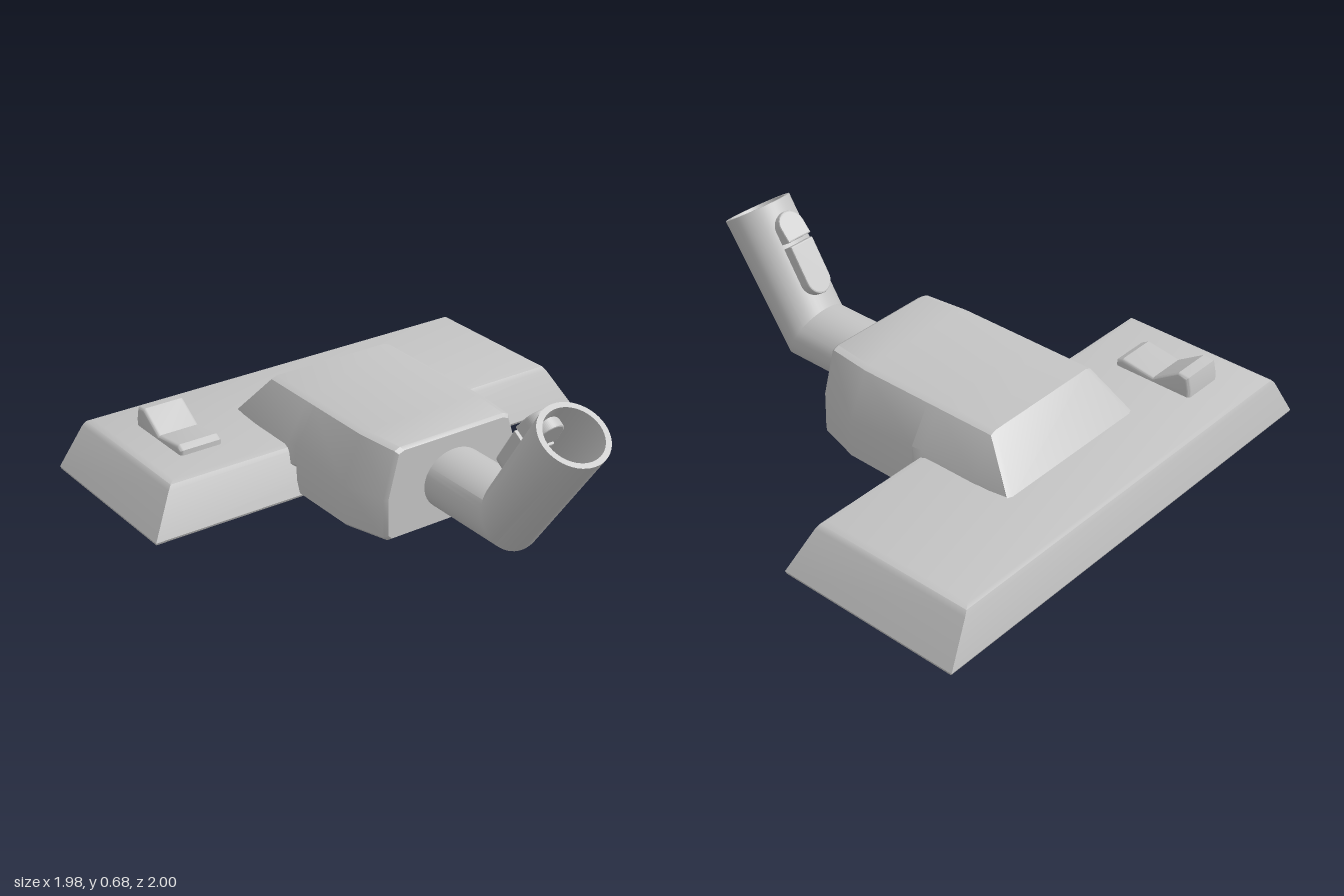
import * as THREE from 'three';
import { toCreasedNormals } from 'three/addons/utils/BufferGeometryUtils.js';

const grey = new THREE.MeshStandardMaterial({ color: 0xc4c4c4 });
grey.name = 'light grey plastic';

// Skins a list of closed rings of [x, y, z] points and caps both ends
function loft(rings, crease = 0.6) {
  const pos = [];
  const tri = (a, b, c) => pos.push(...a, ...b, ...c);
  const middle = r => [0, 1, 2].map(k => r.reduce((s, p) => s + p[k], 0) / r.length);
  const first = rings[0], last = rings[rings.length - 1], n = first.length;
  const cf = middle(first), cl = middle(last);
  for (let i = 0; i < n; i++) {
    const j = (i + 1) % n;
    for (let r = 0; r < rings.length - 1; r++) {
      const a = rings[r], b = rings[r + 1];
      tri(a[i], a[j], b[j]);
      tri(a[i], b[j], b[i]);
    }
    tri(cf, first[j], first[i]);
    tri(cl, last[i], last[j]);
  }
  const g = new THREE.BufferGeometry();
  g.setAttribute('position', new THREE.Float32BufferAttribute(pos, 3));
  g.computeVertexNormals();
  return toCreasedNormals(g, crease);
}

function part(name, geometry) {
  const m = new THREE.Mesh(geometry, grey);
  m.name = name;
  return m;
}

// Wide floor plate with sloping sides and a recess underneath
function makeHead() {
  const levels = [ // y, half width, back z, front z
    [0.05, 0.935, -0.95, -0.295],
    [0.005, 0.945, -0.962, -0.28],
    [0.005, 0.985, -0.995, -0.245],
    [0.015, 0.988, -1.0, -0.24],
    [0.175, 0.893, -0.972, -0.298],
    [0.193, 0.878, -0.965, -0.308],
    [0.2, 0.855, -0.95, -0.33],
  ];
  return part('floorHead', loft(levels.map(([y, w, b, f]) =>
    [[w, y, f], [w, y, b], [-w, y, b], [-w, y, f]])));
}

// Raised housing that runs over the head and tapers at the front
function makeHousing() {
  const sections = [ // z, bottom y, low x, waist x, waist y, top x, top y
    [-0.705, 0.12, 0.36, 0.36, 0.18, 0.355, 0.198],
    [-0.555, 0.12, 0.38, 0.365, 0.215, 0.275, 0.37],
    [-0.31, 0.12, 0.39, 0.365, 0.22, 0.275, 0.37],
    [-0.262, 0.12, 0.365, 0.365, 0.215, 0.275, 0.37],
    [-0.26, 0.008, 0.365, 0.365, 0.215, 0.275, 0.37],
    [0.045, 0.008, 0.363, 0.363, 0.18, 0.275, 0.37],
    [0.225, 0.008, 0.31, 0.31, 0.18, 0.255, 0.37],
    [0.24, 0.018, 0.298, 0.298, 0.18, 0.245, 0.36],
  ];
  return part('housing', loft(sections.map(([z, by, lx, wx, wy, tx, ty]) => {
    const half = [
      [lx - 0.015, by], [lx, by + 0.015], [wx, wy],
      [tx + 0.005, ty - 0.01], [tx - 0.02, ty],
    ];
    const mirrored = half.slice().reverse().map(([x, y]) => [-x, y]);
    return [...half, ...mirrored].map(([x, y]) => [x, y, z]);
  })));
}

// Bent pipe with a mitred elbow and an open bore
function makePipe() {
  const ring = (y, z, upY, upZ, s = 1) => Array.from({ length: 48 }, (_, i) => {
    const a = i / 48 * Math.PI * 2, c = Math.cos(a) * s, d = Math.sin(a) * s;
    return [0.137 * c, y + upY * d, z + upZ * d];
  });
  return part('pipe', loft([
    ring(0.18, 0.2, 0.12, 0),
    ring(0.18, 0.58, 0.12, -0.06),
    ring(0.6125, 0.8875, 0.0725, -0.1125),
    ring(0.6125, 0.8875, 0.0725, -0.1125, 0.84),
    ring(0.2, 0.595, 0.12, -0.06, 0.84),
  ]));
}

// Two-piece latch on the upper wall of the pipe
function makeLatch() {
  const latch = new THREE.Group();
  latch.name = 'pipeLatch';
  const w = 0.052, bevel = 0.006;
  const tab = (name, flat, arc, height) => {
    const up = arc > flat, s = new THREE.Shape();
    s.moveTo(-w, flat);
    s.lineTo(w, flat);
    s.lineTo(w, arc);
    s.absarc(0, arc, w, 0, up ? Math.PI : -Math.PI, !up);
    s.closePath();
    const g = new THREE.ExtrudeGeometry(s, {
      depth: height + 0.05, bevelEnabled: true, bevelSize: bevel,
      bevelThickness: bevel, bevelSegments: 2, curveSegments: 16,
    });
    g.translate(0, 0, -0.05 - bevel);
    const mesh = part(name, g);
    latch.add(mesh);
    return mesh;
  };
  tab('lowerLatchTab', 0.272, 0.12, 0.035);
  // The upper tab slopes down towards the pipe mouth
  const p = tab('upperLatchTab', 0.301, 0.352, 0.038).geometry;
  const v = p.attributes.position;
  for (let i = 0; i < v.count; i++) {
    if (v.getZ(i) > 0) v.setZ(i, v.getZ(i) - (v.getY(i) - 0.295) * 0.17);
  }
  p.computeVertexNormals();
  const along = new THREE.Vector3(0, 0.834, 0.552).normalize();
  const out = new THREE.Vector3(0, 0.552, -0.834).normalize();
  latch.quaternion.setFromRotationMatrix(
    new THREE.Matrix4().makeBasis(new THREE.Vector3(-1, 0, 0), along, out));
  latch.position.set(0, 0.3, 0.52);
  return latch;
}

// Rocker pedal on the right side of the head
function makePedal() {
  const b = 0.014;
  const s = new THREE.Shape([
    [0.484, 0.17], [0.796, 0.17], [0.796, 0.225], [0.785, 0.268],
    [0.755, 0.272], [0.645, 0.201], [0.5, 0.221], [0.484, 0.212],
  ].map(([x, y]) => new THREE.Vector2(x, y)));
  const g = new THREE.ExtrudeGeometry(s, {
    depth: 0.18 - 2 * b, bevelEnabled: true, bevelSize: b, bevelThickness: b, bevelSegments: 3,
  });
  g.rotateY(Math.PI / 2);
  g.translate(-0.74 + b, 0, 0);
  return part('rockerPedal', toCreasedNormals(g, 0.6));
}

export function createModel() {
  const model = new THREE.Group();
  model.name = 'vacuumFloorNozzle';
  model.add(makeHead(), makeHousing(), makePipe(), makeLatch(), makePedal());
  return model;
}
